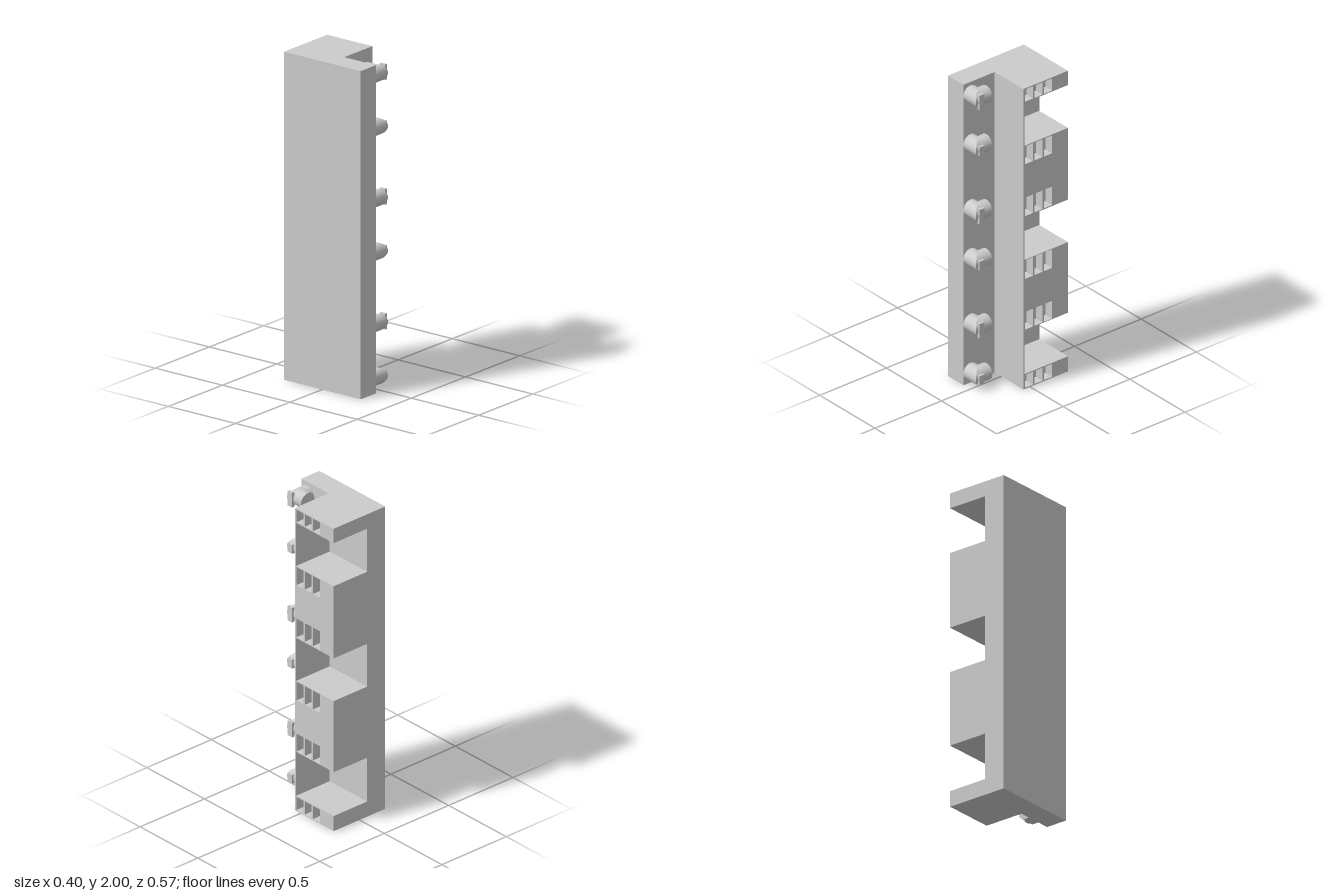
import * as THREE from 'three';

const material = new THREE.MeshStandardMaterial({ color: 0xcccccc });

function addMesh(parent, name, geometry) {
  const mesh = new THREE.Mesh(geometry, material);
  mesh.name = name;
  parent.add(mesh);
  return mesh;
}

function addBox(parent, name, [x0, x1], [y0, y1], [z0, z1]) {
  const mesh = addMesh(parent, name, new THREE.BoxGeometry(x1 - x0, y1 - y0, z1 - z0));
  mesh.position.set((x0 + x1) / 2, (y0 + y1) / 2, (z0 + z1) / 2);
}

function polygon(points) {
  return new THREE.Shape(points.map(([x, y]) => new THREE.Vector2(x, y)));
}

const rectangle = (x0, x1, y0, y1) => polygon([[x0, y0], [x1, y0], [x1, y1], [x0, y1]]);

// Full-height column with the thin wall that closes the bays at the front
function spineGeometry() {
  const outline = polygon([
    [-0.2, -0.285], [-0.06, -0.285], [-0.06, -0.05], [0.2, -0.05],
    [0.2, -0.04], [-0.06, -0.04], [-0.06, 0.285], [-0.2, 0.285],
  ]);
  const geometry = new THREE.ExtrudeGeometry(outline, { depth: 2, bevelEnabled: false });
  return geometry.rotateX(-Math.PI / 2);
}

// Solid block between bays: a core plus a side plate pierced by rows of slots
function addBlock(parent, y0, y1, slotRows) {
  const plateDepth = 0.06;
  addBox(parent, 'blockCore', [-0.06, 0.2 - plateDepth], [y0, y1], [-0.285, 0.04]);
  const plate = rectangle(-0.04, 0.285, y0, y1);
  for (const [low, high] of slotRows) {
    for (let i = 0; i < 3; i++) {
      const u = -0.037 + i * 0.0715;
      plate.holes.push(rectangle(u, u + 0.059, low, high));
    }
  }
  const geometry = new THREE.ExtrudeGeometry(plate, { depth: plateDepth, bevelEnabled: false });
  geometry.rotateY(Math.PI / 2).translate(0.2 - plateDepth, 0, 0);
  addMesh(parent, 'slottedPlate', geometry);
}

// One half of a mitred elbow: the far end is sheared onto the 45 degree plane
function elbowHalf(axis, nearEnd) {
  const geometry = new THREE.CylinderGeometry(0.0525, 0.0525, 1, 40);
  if (axis === 'x') geometry.rotateZ(-Math.PI / 2);
  else geometry.rotateX(Math.PI / 2);
  const p = geometry.attributes.position;
  for (let i = 0; i < p.count; i++) {
    if (axis === 'x') p.setX(i, p.getX(i) > 0 ? p.getZ(i) : nearEnd);
    else p.setZ(i, p.getZ(i) > 0 ? p.getX(i) : nearEnd);
  }
  return geometry;
}

export function createModel() {
  const model = new THREE.Group();
  model.name = 'pipeManifold';

  addMesh(model, 'spine', spineGeometry());

  const blocks = [
    [0, 0.1, [[0.007, 0.093]]],
    [0.39, 0.86, [[0.394, 0.512], [0.732, 0.856]]],
    [1.143, 1.62, [[1.15, 1.273], [1.495, 1.614]]],
    [1.905, 2, [[1.911, 1.993]]],
  ];
  for (const [y0, y1, rows] of blocks) addBlock(model, y0, y1, rows);

  // Elbow outlets, alternating short and long marker plates
  const inletPipe = elbowHalf('x', -0.062);
  const outletPipe = elbowHalf('z', -0.07);
  [0.078, 0.405, 0.84, 1.165, 1.6, 1.925].forEach((y, i) => {
    const elbow = new THREE.Group();
    elbow.name = 'elbow';
    elbow.position.set(0.001, y, 0.232);
    addMesh(elbow, 'inletPipe', inletPipe);
    addMesh(elbow, 'outletPipe', outletPipe);
    const half = i % 2 ? 0.048 : 0.028;
    addBox(elbow, 'markerPlate', [0.045, 0.062], [-half, half], [-0.004, 0.035]);
    model.add(elbow);
  });

  return model;
}
